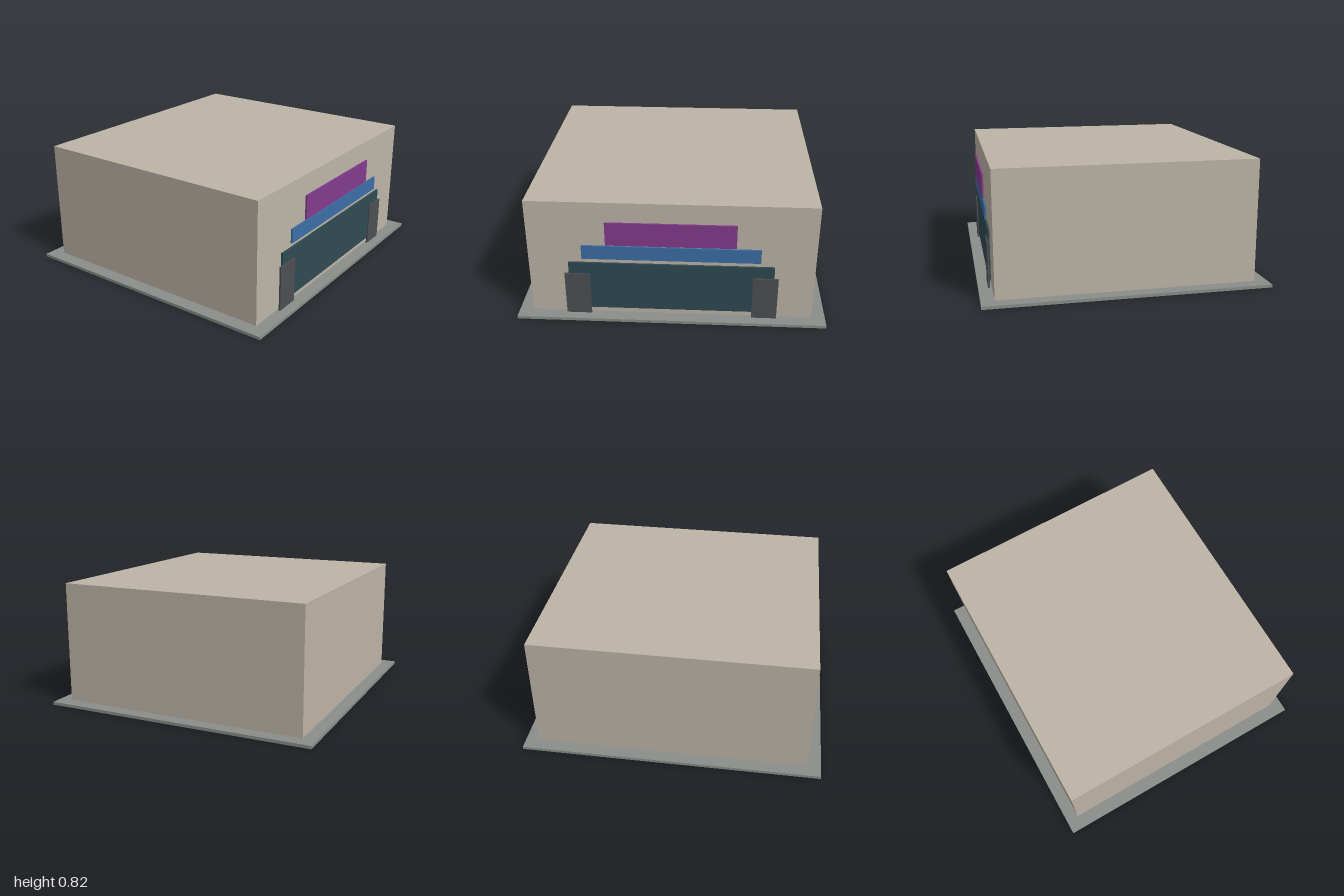
import * as THREE from 'three';

// Box given by its minimum and maximum corners
function block(name, color, [x0, y0, z0], [x1, y1, z1]) {
  const mesh = new THREE.Mesh(
    new THREE.BoxGeometry(x1 - x0, y1 - y0, z1 - z0),
    new THREE.MeshStandardMaterial({ color })
  );
  mesh.position.set((x0 + x1) / 2, (y0 + y1) / 2, (z0 + z1) / 2);
  mesh.name = name;
  return mesh;
}

export function createModel() {
  const model = new THREE.Group();
  model.name = 'building';

  // Ground slab and main hall
  model.add(block('groundSlab', 0x8a8d8a, [-1, 0, -0.923], [1, 0.02, 0.923]));
  model.add(block('hall', 0xbdb4a7, [-0.911, 0.02, -0.837], [0.911, 0.825, 0.837]));

  // Entrance front: door panel, canopy band and sign board, stepping outwards
  model.add(block('doorPanel', 0x2f4a52, [-0.655, 0.06, 0.84], [0.655, 0.4, 0.852]));
  model.add(block('canopyBand', 0x3b6ea5, [-0.565, 0.435, 0.85], [0.565, 0.53, 0.861]));
  model.add(block('signBoard', 0x833a8c, [-0.41, 0.54, 0.854], [0.41, 0.7, 0.865]));

  // Posts flanking the door
  for (const side of [-1, 1]) {
    const post = block(side > 0 ? 'leftPost' : 'rightPost', 0x4e4f54, [0.52, 0.02, 0.849], [0.682, 0.32, 0.86]);
    post.position.x *= side;
    model.add(post);
  }

  return model;
}
